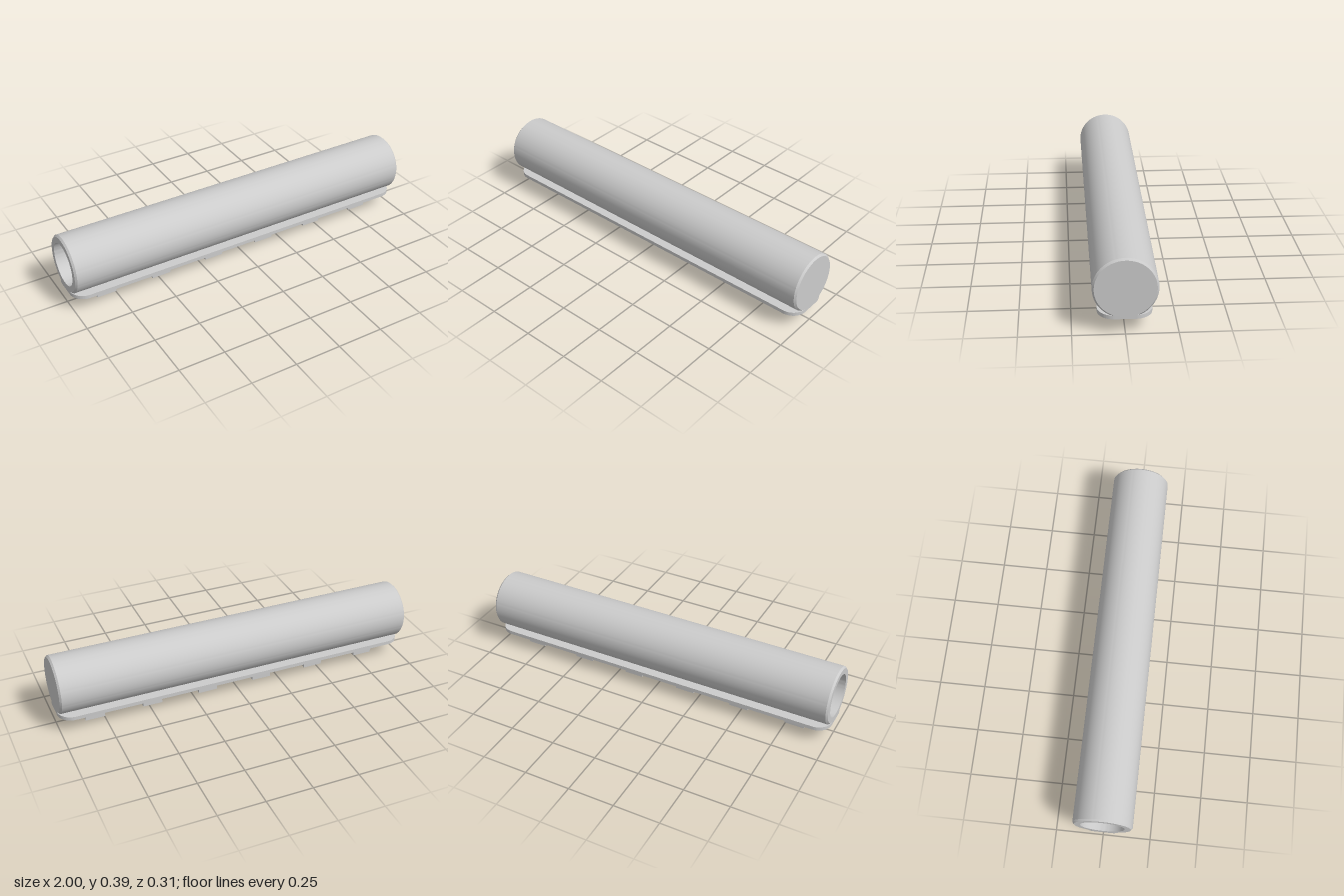
import * as THREE from 'three';
import { toCreasedNormals } from 'three/addons/utils/BufferGeometryUtils.js';

const material = new THREE.MeshStandardMaterial({ color: 0xcccccc });

function add(parent, name, geometry) {
  const mesh = new THREE.Mesh(geometry, material);
  mesh.name = name;
  parent.add(mesh);
  return mesh;
}

// Flat plate outline with rounded corners
function roundedRect(hx, hy, r) {
  const s = new THREE.Shape();
  s.absarc(hx - r, hy - r, r, 0, Math.PI / 2);
  s.absarc(-hx + r, hy - r, r, Math.PI / 2, Math.PI);
  s.absarc(-hx + r, -hy + r, r, Math.PI, Math.PI * 1.5);
  s.absarc(hx - r, -hy + r, r, Math.PI * 1.5, Math.PI * 2);
  s.closePath();
  return s;
}

export function createModel() {
  const model = new THREE.Group();
  model.name = 'railTube';

  // Tube: chamfered at both ends, bored from -x, closed at +x
  const profile = [
    [0, 0.95], [0.115, 0.95], [0.115, -1], [0.146, -1],
    [0.155, -0.99], [0.155, 0.99], [0.146, 1], [0, 1],
  ].map(([r, y]) => new THREE.Vector2(r, y));
  const tubeGeometry = toCreasedNormals(new THREE.LatheGeometry(profile, 96), 0.5);
  const tube = add(model, 'tube', tubeGeometry);
  tube.rotation.z = -Math.PI / 2;
  tube.position.y = 0.236;

  // Base plate under the tube
  const plateGeometry = new THREE.ExtrudeGeometry(roundedRect(1, 0.13, 0.08), {
    depth: 0.02, bevelEnabled: false, curveSegments: 16,
  });
  plateGeometry.rotateX(-Math.PI / 2);
  const plate = add(model, 'basePlate', toCreasedNormals(plateGeometry, 0.5));
  plate.position.y = 0.08;

  // Row of L-shaped hooks with toes towards the front
  const width = 0.107;
  const hookShape = new THREE.Shape(
    [[-0.05, 0], [0.05, 0], [0.05, 0.04], [-0.01, 0.04], [-0.01, 0.082], [-0.05, 0.082]]
      .map(([z, y]) => new THREE.Vector2(z, y)),
  );
  const hookGeometry = new THREE.ExtrudeGeometry(hookShape, { depth: width, bevelEnabled: false });
  hookGeometry.translate(0, 0, -width / 2);
  hookGeometry.rotateY(-Math.PI / 2);
  const hooks = new THREE.Group();
  hooks.name = 'hooks';
  model.add(hooks);
  for (let i = 0; i < 6; i++) {
    add(hooks, 'hook', hookGeometry).position.x = -0.8 + i * 0.32;
  }

  return model;
}
